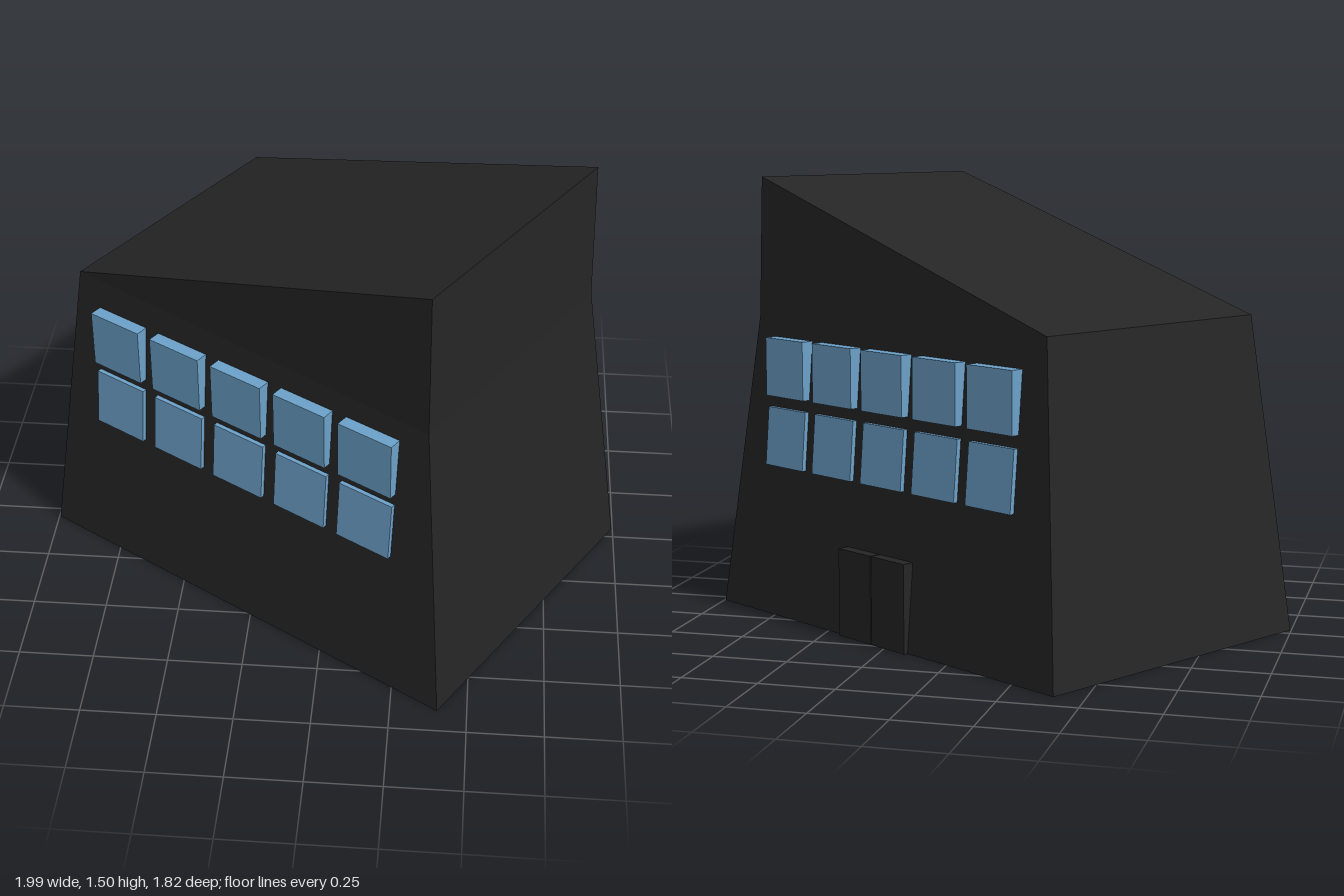
import * as THREE from 'three';

const charcoal = new THREE.MeshStandardMaterial({ color: 0x252525 });
charcoal.name = 'charcoal';
charcoal.flatShading = true;
const glass = new THREE.MeshStandardMaterial({ color: 0x6ca0c8 });
glass.name = 'blueGlass';

// Half depth of the tapering long walls at height y
const wallZ = (y) => 0.562 - 0.084 * (y / 1.02);

// Tapered building with a sloping roof; the upper part of the tall end is nearly upright
function makeBody() {
  const p = [];
  for (const s of [1, -1]) {
    p.push([-0.824, 0, 0.562 * s], [0.824, 0, 0.562 * s],
      [0.703, 1.02, 0.478 * s], [0.693, 1.5, 0.469 * s], [-0.704, 1.06, 0.474 * s]);
  }
  const faces = [
    [0, 1, 2, 4], [4, 2, 3], // front wall
    [6, 5, 9, 7], [7, 9, 8], // back wall
    [1, 6, 7, 2], [2, 7, 8, 3], // tall end
    [5, 0, 4, 9], // low end
    [4, 3, 8, 9], // roof
    [5, 6, 1, 0], // floor
  ];
  const pos = [];
  for (const f of faces) {
    for (let i = 1; i < f.length - 1; i++) pos.push(...p[f[0]], ...p[f[i]], ...p[f[i + 1]]);
  }
  const g = new THREE.BufferGeometry();
  g.setAttribute('position', new THREE.Float32BufferAttribute(pos, 3));
  g.computeVertexNormals();
  return new THREE.Mesh(g, charcoal);
}

// Block whose back is sunk in the sloping wall and whose face depth is given by outer(y)
function wallBlock(name, material, x, y0, y1, width, outer) {
  const box = new THREE.BoxGeometry(width, y1 - y0, 1).translate(x, (y0 + y1) / 2, 0);
  const g = box.toNonIndexed();
  const a = g.attributes.position;
  for (let i = 0; i < a.count; i++) {
    const y = a.getY(i);
    a.setZ(i, a.getZ(i) > 0 ? outer(y) : wallZ(y) - 0.01);
  }
  g.computeVertexNormals();
  const mesh = new THREE.Mesh(g, material);
  mesh.name = name;
  return mesh;
}

// Two rows of five windows: upright faces above, faces following the wall below
function makeWindows(name, offset) {
  const group = new THREE.Group();
  group.name = name;
  for (let i = 0; i < 5; i++) {
    const x = offset + (i - 2) * 0.254;
    group.add(wallBlock('upperWindow', glass, x, 0.755, 0.955, 0.202, () => 0.527));
    group.add(wallBlock('lowerWindow', glass, x, 0.515, 0.715, 0.202, (y) => wallZ(y) + 0.015));
  }
  return group;
}

export function createModel() {
  const model = new THREE.Group();
  model.name = 'building';

  const body = makeBody();
  body.name = 'walls';
  model.add(body, makeWindows('frontWindows', -0.008));

  // Back side: windows and a double door
  const back = new THREE.Group();
  back.name = 'backSide';
  back.rotation.y = Math.PI;
  back.add(makeWindows('backWindows', 0));
  for (const s of [-1, 1]) {
    back.add(wallBlock('doorLeaf', charcoal, s * 0.083, 0, 0.295, 0.161, () => 0.577));
  }
  model.add(back);

  // The whole building stands turned on its plot
  model.rotation.y = -0.556;
  const root = new THREE.Group();
  root.name = 'model';
  root.add(model);
  return root;
}
